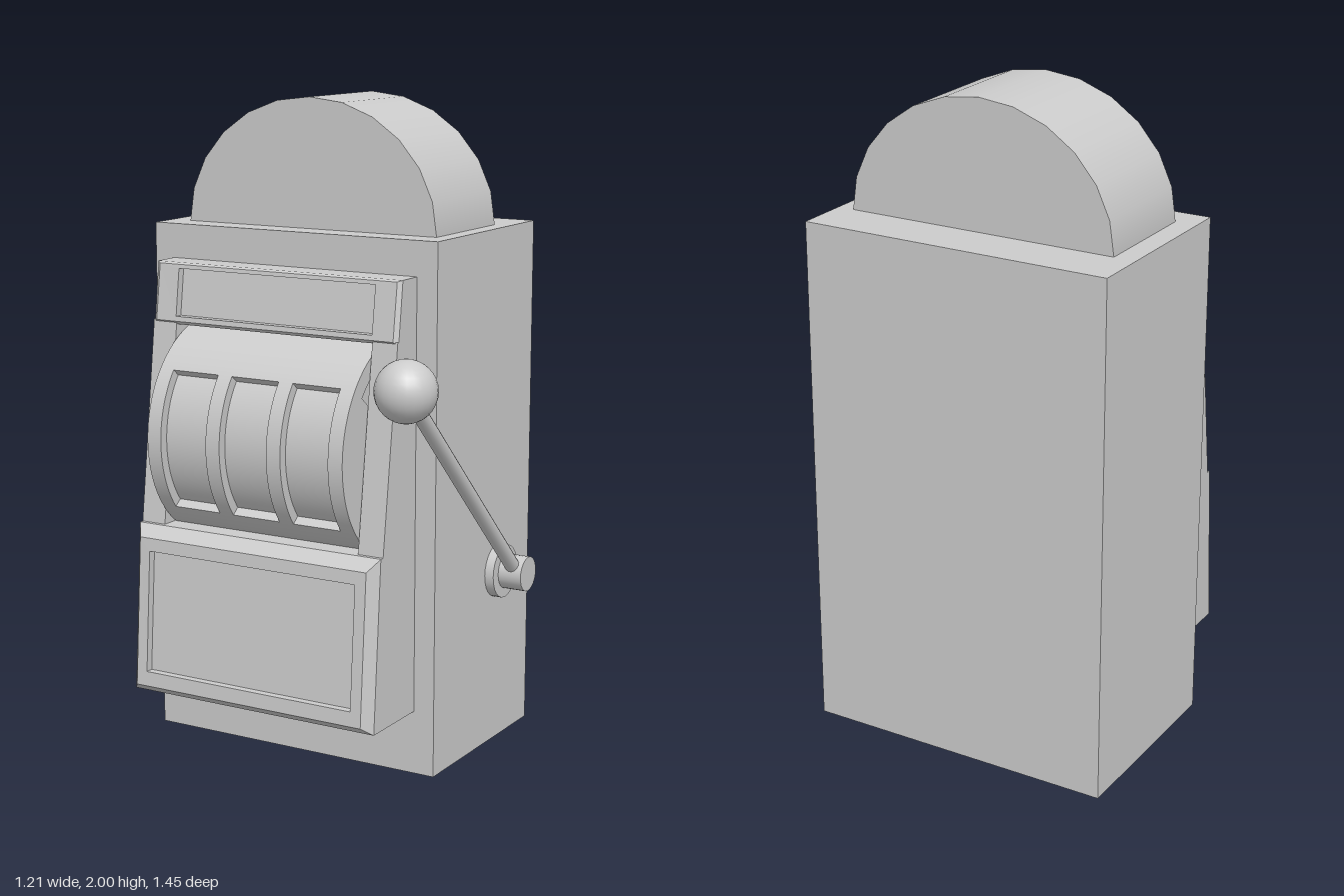
import * as THREE from 'three';
import { toCreasedNormals } from 'three/addons/utils/BufferGeometryUtils.js';

const material = new THREE.MeshStandardMaterial({ color: 0xcccccc, side: THREE.DoubleSide });
const FRONT = 0.314; // z of the cabinet's front wall

function add(parent, name, geometry, x = 0, y = 0, z = 0) {
  const mesh = new THREE.Mesh(geometry, material);
  mesh.name = name;
  mesh.position.set(x, y, z);
  parent.add(mesh);
  return mesh;
}

// Extrudes a (z, y) side profile across x from x0 to x1.
function sideExtrude(shape, x0, x1) {
  const g = new THREE.ExtrudeGeometry(shape, { depth: x1 - x0, bevelEnabled: false, curveSegments: 20 });
  g.rotateY(-Math.PI / 2).translate(x1, 0, 0);
  return toCreasedNormals(g, 0.4);
}

// Lofts rectangular rings [halfWidth, yBottom, yTop, zBottom, zTop] and caps the last.
function loft(rings) {
  const loops = rings.map(([w, yb, yt, zb, zt]) => [[-w, yb, zb], [w, yb, zb], [w, yt, zt], [-w, yt, zt]]);
  const pos = [];
  const quad = (a, b, c, d) => [a, b, c, a, c, d].forEach((p) => pos.push(...p));
  for (let r = 0; r + 1 < loops.length; r++) {
    for (let i = 0; i < 4; i++) {
      const j = (i + 1) % 4;
      quad(loops[r][i], loops[r][j], loops[r + 1][j], loops[r + 1][i]);
    }
  }
  quad(...loops[loops.length - 1]);
  const g = new THREE.BufferGeometry();
  g.setAttribute('position', new THREE.Float32BufferAttribute(pos, 3));
  g.computeVertexNormals();
  return g;
}

// Cabinet shell, open below, with an opening behind the fascia.
function addCabinet(parent) {
  const w = 0.98, h = 1.61, d = FRONT * 2;
  const wall = new THREE.Shape([[-w / 2, 0], [w / 2, 0], [w / 2, h], [-w / 2, h]].map((p) => new THREE.Vector2(...p)));
  wall.holes.push(new THREE.Path([[-0.41, 0.21], [-0.41, 1.49], [0.41, 1.49], [0.41, 0.21]].map((p) => new THREE.Vector2(...p))));
  add(parent, 'cabinetFront', new THREE.ShapeGeometry(wall), 0, 0, FRONT);
  add(parent, 'cabinetBack', new THREE.PlaneGeometry(w, h).rotateY(Math.PI), 0, h / 2, -FRONT);
  for (const s of [-1, 1]) {
    add(parent, 'cabinetSide', new THREE.PlaneGeometry(d, h).rotateY(s * Math.PI / 2), s * w / 2, h / 2, 0);
  }
  add(parent, 'cabinetTop', new THREE.PlaneGeometry(w, d).rotateX(-Math.PI / 2), 0, h, 0);

  // Half-round topper
  const dome = new THREE.CylinderGeometry(0.43, 0.43, 0.374, 12, 1, false, Math.PI / 2, Math.PI);
  dome.rotateX(Math.PI / 2).scale(1, 0.39 / 0.43, 1);
  add(parent, 'topper', dome, 0.008, h, 0.038);
}

// Sloping fascia: coin tray panel, side bars and sign.
function addFascia(parent) {
  add(parent, 'trayPanel', loft([
    [0.423, 0.195, 0.715, FRONT, FRONT],
    [0.423, 0.195, 0.715, 0.556, 0.518],
    [0.396, 0.22, 0.68, 0.588, 0.556],
    [0.36, 0.265, 0.64, 0.585, 0.559],
    [0.36, 0.265, 0.64, 0.56, 0.534],
  ]));
  add(parent, 'signPanel', loft([
    [0.423, 1.32, 1.505, FRONT, FRONT],
    [0.423, 1.32, 1.505, 0.42, 0.397],
    [0.41, 1.33, 1.5, 0.43, 0.407],
    [0.34, 1.345, 1.488, 0.428, 0.409],
    [0.34, 1.345, 1.488, 0.403, 0.384],
  ]));
  const bar = new THREE.Shape([[FRONT, 0.7], [0.507, 0.7], [0.425, 1.33], [FRONT, 1.33]].map((p) => new THREE.Vector2(...p)));
  for (const [x0, x1] of [[-0.423, -0.34], [0.34, 0.423]]) add(parent, 'sideBar', sideExtrude(bar, x0, x1));
  add(parent, 'reelBackPlate', new THREE.PlaneGeometry(0.7, 0.62), 0, 1.015, 0.325);
}

// Drum with three windows showing recessed reels.
function addDrum(parent) {
  const cz = 0.25, cy = 0.99, R = 0.34, deg = Math.PI / 180;
  const sector = (a0, a1, inner) => {
    const s = new THREE.Shape();
    s.absarc(cz, cy, R, a0 * deg, a1 * deg, false);
    s.absarc(cz, cy, inner, a1 * deg, a0 * deg, true);
    s.closePath();
    return s;
  };
  add(parent, 'drumUpperCover', sideExtrude(sector(38, 76, 0.29), -0.337, 0.337));
  add(parent, 'drumLowerCover', sideExtrude(sector(-74, -38, 0.29), -0.337, 0.337));
  for (const x of [-0.313, -0.105, 0.105, 0.313]) {
    add(parent, 'reelDivider', sideExtrude(sector(-38, 38, 0.2), x - 0.024, x + 0.024));
  }
  for (const x of [-0.21, 0, 0.21]) {
    const reel = new THREE.Shape();
    reel.absarc(cz, cy, 0.31, -74 * deg, 74 * deg, false);
    reel.closePath();
    add(parent, 'reel', sideExtrude(reel, x - 0.085, x + 0.085));
  }
}

// Pull lever on the side.
function addLever(parent) {
  const lever = new THREE.Group();
  lever.name = 'lever';
  parent.add(lever);
  const disc = (r, l) => new THREE.CylinderGeometry(r, r, l, 24).rotateZ(Math.PI / 2);
  add(lever, 'leverFlange', disc(0.083, 0.03), 0.504, 0.545, -0.095);
  add(lever, 'leverHub', disc(0.054, 0.11), 0.54, 0.545, -0.1);
  const from = new THREE.Vector3(0.558, 0.55, -0.09), to = new THREE.Vector3(0.558, 1.235, 0.62);
  add(lever, 'leverRod', new THREE.TubeGeometry(new THREE.LineCurve3(from, to), 1, 0.023, 14));
  add(lever, 'leverBall', new THREE.SphereGeometry(0.09, 24, 16), to.x, to.y, to.z);
}

export function createModel() {
  const model = new THREE.Group();
  model.name = 'slotMachine';
  const machine = new THREE.Group();
  machine.name = 'machine';
  addCabinet(machine);
  addFascia(machine);
  addDrum(machine);
  addLever(machine);
  // The machine stands turned on its base.
  machine.rotation.y = -1.098;
  machine.position.set(0.1025, 0, -0.15);
  model.add(machine);
  return model;
}
